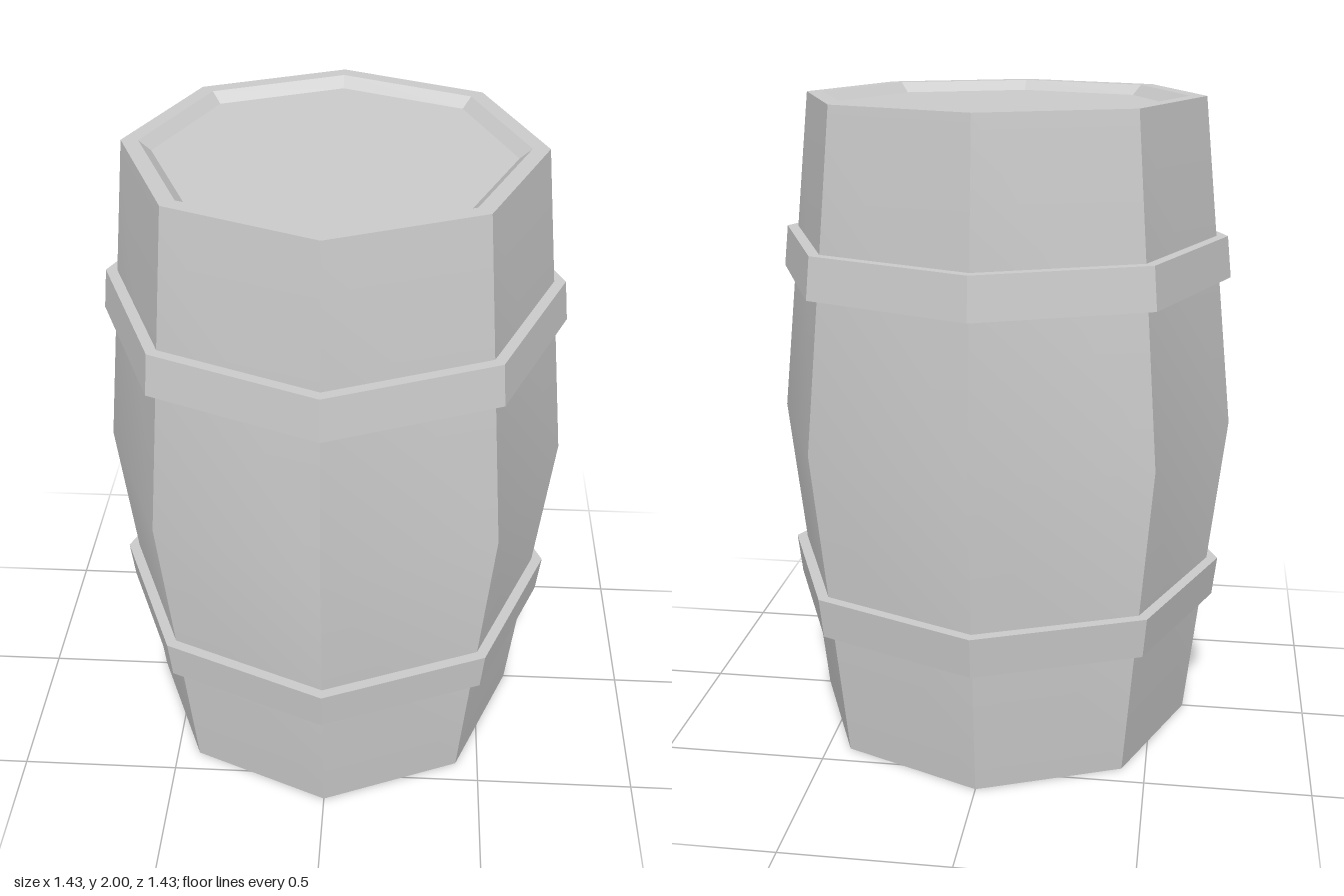
import * as THREE from 'three';
import { toCreasedNormals } from 'three/addons/utils/BufferGeometryUtils.js';

const SIDES = 8;
const CREASE = 0.4; // staves stay faceted, the gentle bulge stays smooth

// Turn a [radius, height] profile (outside face listed bottom to top) into an eight-sided part
function turned(name, profile, material) {
  const points = profile.map(([r, y]) => new THREE.Vector2(r, y));
  const geometry = toCreasedNormals(new THREE.LatheGeometry(points, SIDES), CREASE);
  const mesh = new THREE.Mesh(geometry, material);
  mesh.name = name;
  return mesh;
}

export function createModel() {
  const group = new THREE.Group();
  group.name = 'barrel';
  const material = new THREE.MeshStandardMaterial({ color: 0xcccccc });

  // Bulging staves with a bevelled, recessed lid at each end
  const depth = 0.03;
  group.add(turned('barrelBody', [
    [0, depth], [0.52, depth], [0.555, 0], [0.605, 0],
    [0.713, 1],
    [0.605, 2], [0.555, 2], [0.52, 2 - depth], [0, 2 - depth],
  ], material));

  // Two hoops, mirrored about the middle and tapering with the staves
  const hoop = [[0.63, 0.413], [0.684, 0.413], [0.698, 0.539], [0.64, 0.539]];
  group.add(turned('lowerHoop', hoop, material));
  group.add(turned('upperHoop', hoop.map(([r, y]) => [r, 2 - y]).reverse(), material));

  return group;
}
